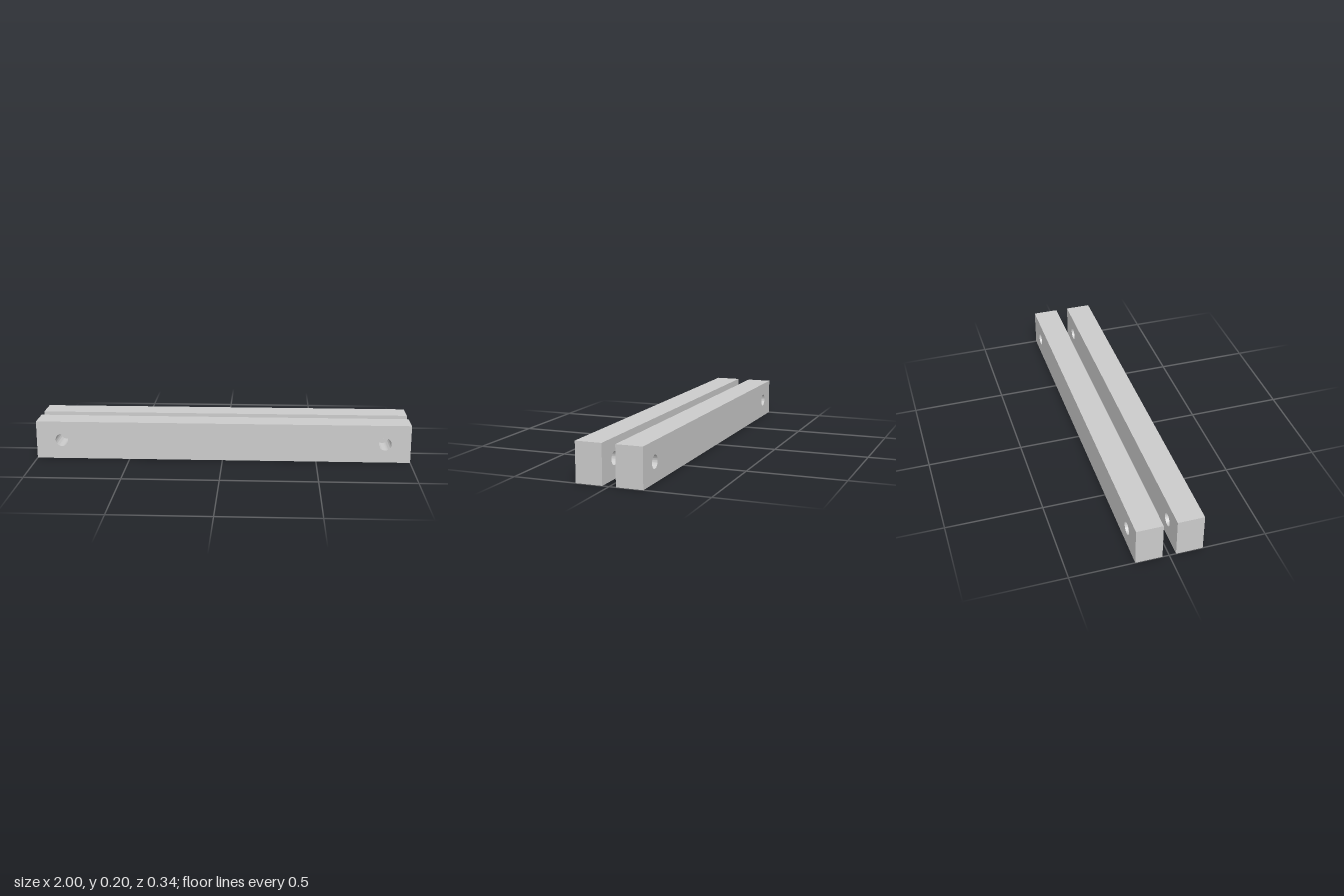
import * as THREE from 'three';
import { toCreasedNormals } from 'three/addons/utils/BufferGeometryUtils.js';

const LENGTH = 2, HEIGHT = 0.203, DEPTH = 0.137, GAP = 0.069;
const HOLE_X = 0.864, HOLE_RADIUS = 0.034;

// Rectangular bar with a round through-hole near each end
function barGeometry() {
  const shape = new THREE.Shape([
    new THREE.Vector2(-LENGTH / 2, 0),
    new THREE.Vector2(LENGTH / 2, 0),
    new THREE.Vector2(LENGTH / 2, HEIGHT),
    new THREE.Vector2(-LENGTH / 2, HEIGHT),
  ]);
  for (const side of [-1, 1]) {
    const hole = new THREE.Path();
    hole.absarc(side * HOLE_X, HEIGHT / 2, HOLE_RADIUS, 0, Math.PI * 2, true);
    shape.holes.push(hole);
  }
  const geometry = new THREE.ExtrudeGeometry(shape, {
    depth: DEPTH, bevelEnabled: false, curveSegments: 40,
  });
  geometry.translate(0, 0, -DEPTH / 2);
  return toCreasedNormals(geometry, Math.PI / 6);
}

export function createModel() {
  const group = new THREE.Group();
  group.name = 'barPair';
  const material = new THREE.MeshStandardMaterial({ color: 0xcccccc });
  const geometry = barGeometry();

  // Two identical parallel bars separated by a narrow gap
  for (const [name, side] of [['frontBar', 1], ['backBar', -1]]) {
    const bar = new THREE.Mesh(geometry, material);
    bar.name = name;
    bar.position.z = side * (GAP + DEPTH) / 2;
    group.add(bar);
  }
  return group;
}
